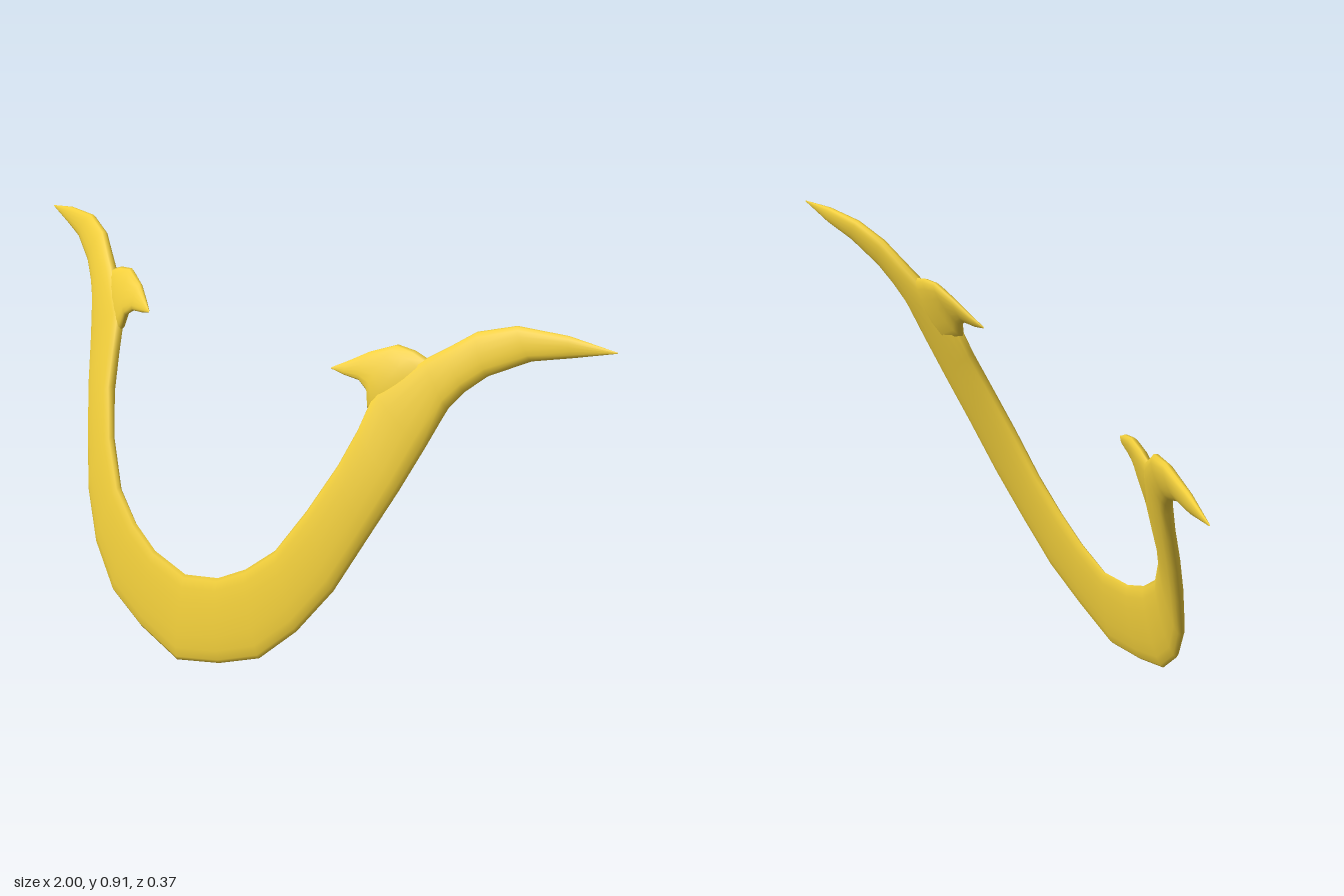
import * as THREE from 'three';

const gold = new THREE.MeshStandardMaterial({ color: 0xf2cf3b });
const SIDES = 16;

// Skin a row of stations [edgeA, edgeB, halfThickness] with flattened oval sections
function loft(stations, name) {
  const A = stations.map(s => new THREE.Vector3(...s[0]));
  const B = stations.map(s => new THREE.Vector3(...s[1]));
  const mid = A.map((a, i) => a.clone().add(B[i]).multiplyScalar(0.5));
  const pos = [], idx = [], last = stations.length - 1;
  stations.forEach((s, i) => {
    const t = mid[Math.min(i + 1, last)].clone().sub(mid[Math.max(i - 1, 0)]);
    const d = A[i].clone().sub(B[i]).multiplyScalar(0.5);
    const n = t.cross(d).normalize().multiplyScalar(s[2]);
    for (let j = 0; j < SIDES; j++) {
      const a = (j / SIDES) * Math.PI * 2, sn = Math.sin(a);
      const bulge = Math.sign(sn) * Math.pow(Math.abs(sn), 0.85);
      const p = mid[i].clone().addScaledVector(d, Math.cos(a)).addScaledVector(n, bulge);
      pos.push(p.x, p.y, p.z);
      if (i < last) {
        const k = (j + 1) % SIDES, r = i * SIDES, q = r + SIDES;
        idx.push(r + j, r + k, q + j, r + k, q + k, q + j);
      }
    }
  });
  const g = new THREE.BufferGeometry();
  g.setAttribute('position', new THREE.Float32BufferAttribute(pos, 3));
  g.setIndex(idx);
  g.computeVertexNormals();
  const mesh = new THREE.Mesh(g, gold);
  mesh.name = name;
  return mesh;
}

const mirror = ([a, b, h]) => [[-a[0], a[1], a[2]], [-b[0], b[1], b[2]], h];

export function createModel() {
  const group = new THREE.Group();
  group.name = 'curvedCrescent';

  // Half of the crescent, from bottom centre to outer tip: lower edge, upper edge, half thickness
  const half = [
    [[0, 0.003, 0.177], [0, 0.21, 0.151], 0.012],
    [[0.15, 0.04, 0.170], [0.12, 0.235, 0.149], 0.013],
    [[0.28, 0.09, 0.157], [0.21, 0.28, 0.140], 0.014],
    [[0.38, 0.18, 0.132], [0.295, 0.345, 0.124], 0.016],
    [[0.46, 0.29, 0.095], [0.365, 0.45, 0.093], 0.018],
    [[0.52, 0.42, 0.050], [0.42, 0.56, 0.052], 0.020],
    [[0.57, 0.53, 0.010], [0.445, 0.64, 0.018], 0.021],
    [[0.61, 0.63, -0.027], [0.465, 0.73, -0.015], 0.021],
    [[0.645, 0.72, -0.058], [0.57, 0.815, -0.068], 0.020],
    [[0.675, 0.76, -0.076], [0.615, 0.845, -0.088], 0.019],
    [[0.72, 0.80, -0.098], [0.67, 0.884, -0.113], 0.017],
    [[0.81, 0.845, -0.133], [0.76, 0.910, -0.140], 0.014],
    [[0.90, 0.866, -0.160], [0.885, 0.909, -0.163], 0.010],
    [[1.0, 0.892, -0.182], [1.0, 0.894, -0.182], 0.001],
  ];
  group.add(loft([...half.slice(1).reverse().map(mirror), ...half], 'crescentBand'));

  // Inward barb below each outer tip, from buried root to point
  const barb = [
    [[0.59, 0.70, -0.050], [0.61, 0.79, -0.070], 0.004],
    [[0.50, 0.66, -0.015], [0.57, 0.812, -0.068], 0.017],
    [[0.452, 0.69, -0.002], [0.535, 0.823, -0.066], 0.018],
    [[0.443, 0.725, -0.008], [0.485, 0.828, -0.060], 0.015],
    [[0.415, 0.742, -0.010], [0.42, 0.803, -0.040], 0.011],
    [[0.37, 0.746, -0.005], [0.375, 0.777, -0.020], 0.007],
    [[0.335, 0.753, 0], [0.335, 0.756, -0.001], 0.001],
  ];
  group.add(loft(barb, 'leftBarb'), loft(barb.map(mirror), 'rightBarb'));
  return group;
}
